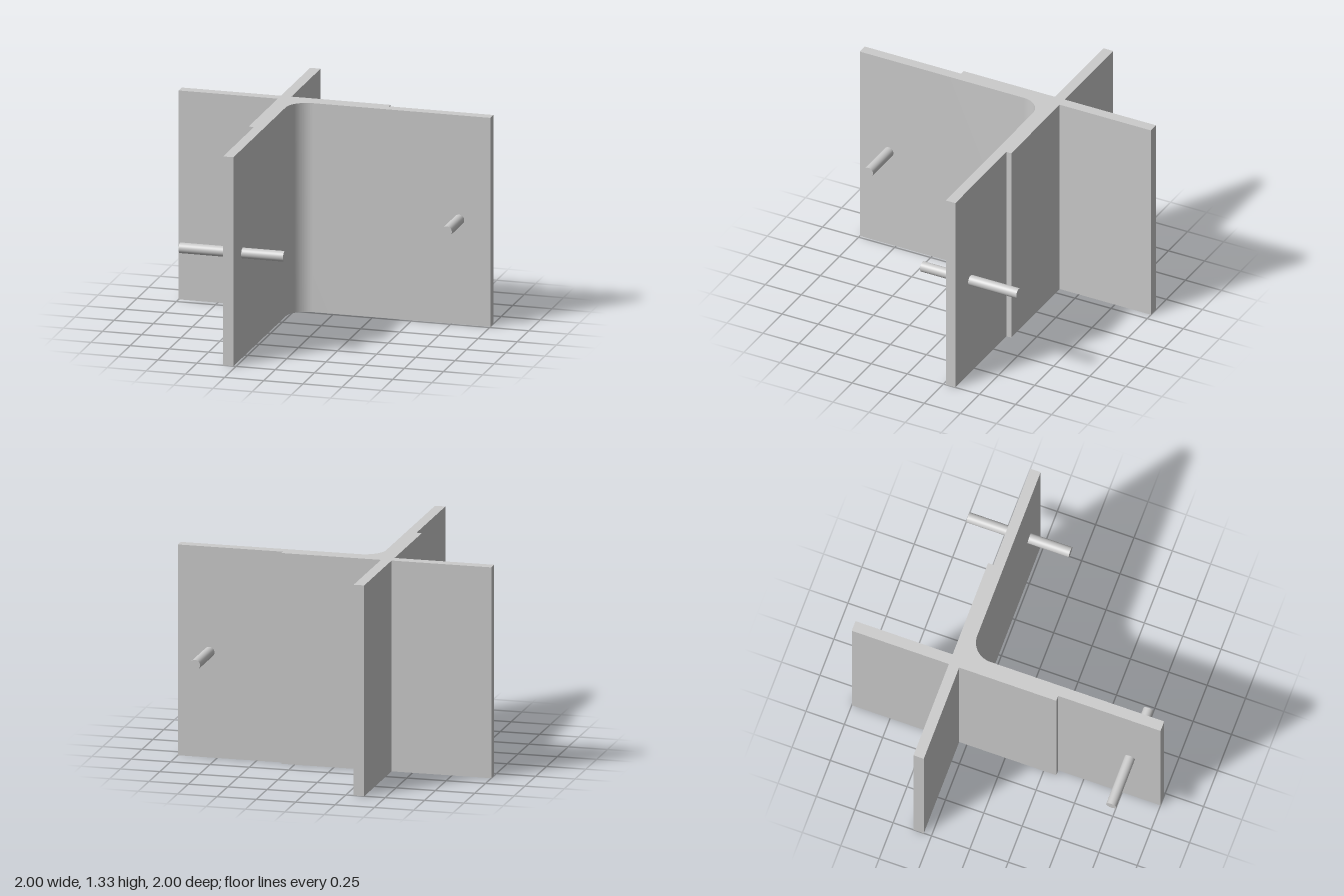
import * as THREE from 'three';
import { toCreasedNormals } from 'three/addons/utils/BufferGeometryUtils.js';

const HEIGHT = 1.333;
const FILLET = 0.133;
const PIN_RADIUS = 0.033;

// Cross-shaped plan, symmetric about the diagonal x = z, extruded upwards
function createWalls(material) {
  // One half of the plan as [x, z]: right arm with its step, then back arm
  const half = [
    [1, -0.267], [1, -0.333], [0.333, -0.333], [0.333, -0.367],
    [-0.3, -0.367], [-0.3, -1], [-0.367, -1], [-0.367, -0.367],
  ];
  // The other half swaps x and z: left arm, then front arm
  const otherHalf = half.slice(0, -1).reverse().map(([x, z]) => [z, x]);

  const plan = new THREE.Shape();
  [...half, ...otherHalf].forEach(([x, z], i) => (i ? plan.lineTo(x, -z) : plan.moveTo(x, -z)));
  // Rounded inner corner between the front and right arms
  plan.absarc(-0.267 + FILLET, 0.267 - FILLET, FILLET, Math.PI, Math.PI / 2, true);
  plan.closePath();

  const geometry = new THREE.ExtrudeGeometry(plan, { depth: HEIGHT, bevelEnabled: false, curveSegments: 16 });
  geometry.rotateX(-Math.PI / 2);
  const walls = new THREE.Mesh(toCreasedNormals(geometry, 0.5), material);
  walls.name = 'crossWalls';
  return walls;
}

// Round pin lying along z, passing through a wall
function createPin(name, material) {
  const geometry = new THREE.CylinderGeometry(PIN_RADIUS, PIN_RADIUS, 0.667, 32);
  geometry.rotateX(Math.PI / 2);
  const pin = new THREE.Mesh(geometry, material);
  pin.name = name;
  return pin;
}

export function createModel() {
  const material = new THREE.MeshStandardMaterial({ color: 0xcccccc });
  const model = new THREE.Group();
  model.name = 'crossWallsWithPins';

  const rightPin = createPin('rightArmPin', material);
  rightPin.position.set(0.8, HEIGHT / 2, -0.333);

  const frontPin = createPin('frontArmPin', material);
  frontPin.position.set(-0.333, HEIGHT / 2, 0.8);
  frontPin.rotation.y = Math.PI / 2;

  model.add(createWalls(material), rightPin, frontPin);
  return model;
}
